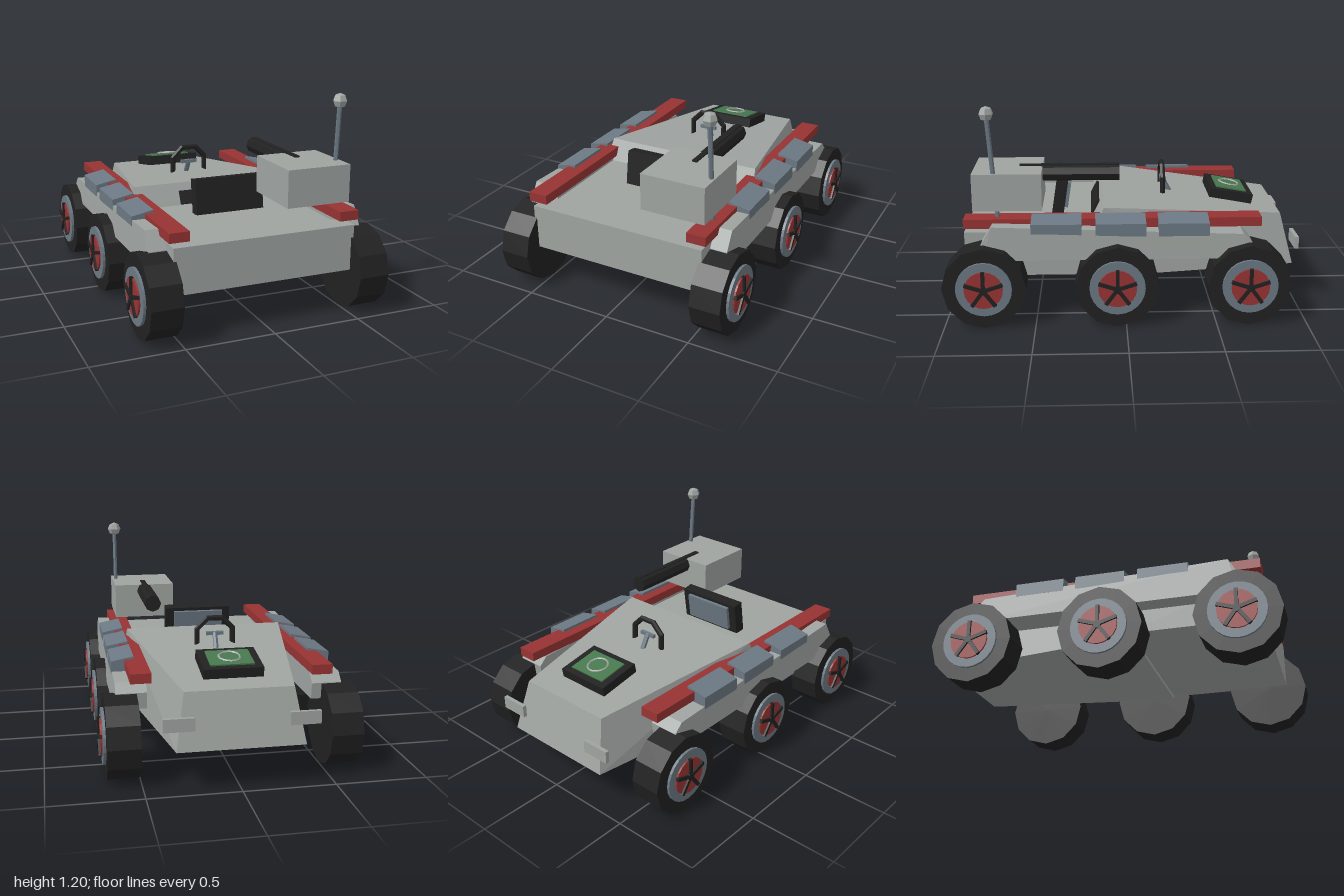
import * as THREE from 'three';
import { ConvexGeometry } from 'three/addons/geometries/ConvexGeometry.js';

const mat = (name, color, extra = {}) => {
  const m = new THREE.MeshStandardMaterial({ color, ...extra });
  m.name = name;
  return m;
};

export function createModel() {
  const hull = mat('hull grey', 0x9fa4a1, { flatShading: true });
  const steel = mat('blue steel', 0x6b7883, { flatShading: true });
  const red = mat('trim red', 0x983333, { flatShading: true });
  const black = mat('rubber black', 0x212121, { flatShading: true });
  const green = mat('screen green', 0x47784e, { flatShading: true });

  const model = new THREE.Group();
  model.name = 'rover';

  const add = (name, geometry, material, pos = [0, 0, 0], parent = model) => {
    const mesh = new THREE.Mesh(geometry, material);
    mesh.name = name;
    mesh.position.set(...pos);
    parent.add(mesh);
    return mesh;
  };
  const box = (name, size, material, pos, parent) =>
    add(name, new THREE.BoxGeometry(...size), material, pos, parent);
  const solid = (name, points, material) =>
    add(name, new ConvexGeometry(points.map((p) => new THREE.Vector3(...p))), material);
  const group = (name, pos) => {
    const g = new THREE.Group();
    g.name = name;
    g.position.set(...pos);
    model.add(g);
    return g;
  };
  // cylinder between two points
  const rod = (name, a, b, r, sides, material) => {
    const p = new THREE.Vector3(...a), q = new THREE.Vector3(...b);
    const dir = q.clone().sub(p);
    const mesh = add(name, new THREE.CylinderGeometry(r, r, dir.length(), sides), material,
      p.add(q).multiplyScalar(0.5).toArray());
    mesh.quaternion.setFromUnitVectors(new THREE.Vector3(0, 1, 0), dir.normalize());
    return mesh;
  };

  // Hull: flat deck and tapered hood
  box('rearDeck', [1.04, 0.255, 0.75], hull, [0, 0.3725, 0.515]);
  const hoodCorners = [
    [0.34, 0.225, -0.98], [0.29, 0.52, -0.905],
    [0.52, 0.225, 0.18], [0.475, 0.62, 0.12], [0.49, 0.5, 0.18],
  ];
  solid('hood', hoodCorners.flatMap(([x, y, z]) => [[x, y, z], [-x, y, z]]), hull);

  // Wheel, built facing +x and turned round for the other side
  const wheel = (side, z) => {
    const g = group('wheel', [side * 0.505, 0.23, z]);
    if (side < 0) g.rotation.y = Math.PI;
    const disc = (name, r, x0, x1, sides, material) => {
      const geo = new THREE.CylinderGeometry(r, r, x1 - x0, sides).rotateZ(-Math.PI / 2);
      add(name, geo, material, [(x0 + x1) / 2, 0, 0], g);
    };
    disc('tyre', 0.23, 0, 0.175, 12, black);
    disc('rim', 0.153, 0.17, 0.19, 24, steel);
    disc('hubPlate', 0.105, 0.18, 0.2, 20, red);
    disc('hubCap', 0.022, 0.19, 0.212, 8, black);
    for (let i = 0; i < 5; i++) {
      const geo = new THREE.BoxGeometry(0.018, 0.105, 0.02)
        .translate(0, 0.056, 0).rotateX((i * Math.PI * 2) / 5);
      add('spoke', geo, black, [0.202, 0, 0], g);
    }
  };

  // Sponson side profile as [z, y]
  const sponsonProfile = [
    [0.73, 0.56], [0.79, 0.46], [0.78, 0.37], [-0.68, 0.37], [-0.69, 0.46], [-0.64, 0.508],
  ];
  for (const s of [1, -1]) {
    for (const z of [0.775, 0.05, -0.675]) wheel(s, z);
    solid('sponson', sponsonProfile.flatMap(([z, y]) => [
      [s * 0.45, y, z], [s * (y < 0.4 ? 0.625 : 0.616), y, z],
    ]), hull);
    box('rail', [0.112, 0.053, 1.64], red, [s * 0.488, 0.554, 0.07]);
    // sloping panels along the sponson
    for (const z of [0.38, 0.03, -0.315]) {
      solid('sidePanel', [z - 0.138, z + 0.138].flatMap((e) => [
        [s * 0.495, 0.597, e], [s * 0.618, 0.572, e], [s * 0.618, 0.5, e], [s * 0.495, 0.5, e],
      ]), steel);
    }
    box('noseLamp', [0.163, 0.07, 0.022], hull, [s * 0.328, 0.375, -0.985]);
  }

  // Seat back and foot panel
  const seat = group('seat', [0, 0.598, 0.372]);
  seat.rotation.x = -0.15;
  box('backrest', [0.41, 0.2, 0.068], black, [0, 0, 0], seat);
  box('seatPad', [0.31, 0.15, 0.022], steel, [0, 0.005, -0.043], seat);
  box('dashPanel', [0.42, 0.08, 0.02], black, [0, 0.54, 0.165]).rotation.x = -0.46;

  // Steering wheel: open arc with a stem
  const arc = new THREE.TorusGeometry(0.113, 0.017, 6, 5, Math.PI * 1.25).rotateZ(-Math.PI / 8);
  add('steeringWheel', arc, black, [0, 0.64, -0.235]);
  rod('steeringStem', [0, 0.66, -0.235], [0, 0.56, -0.29], 0.015, 6, steel);
  box('steeringBar', [0.1, 0.02, 0.02], steel, [0, 0.655, -0.235]);

  // Tilted display on the hood
  const display = group('display', [0, 0.585, -0.637]);
  display.rotation.x = -0.18;
  box('displayFrame', [0.325, 0.055, 0.255], black, [0, 0, 0], display);
  box('screen', [0.24, 0.008, 0.18], green, [0, 0.031, 0], display);
  add('screenRing', new THREE.TorusGeometry(0.058, 0.006, 4, 16).rotateX(Math.PI / 2), hull,
    [0, 0.039, 0], display);

  // Equipment box, tube and antenna
  box('equipmentBox', [0.372, 0.208, 0.38], hull, [0.326, 0.722, 0.65]);
  rod('launchTube', [0.325, 0.786, 0.03], [0.325, 0.786, 0.47], 0.049, 8, black);
  box('topRod', [0.03, 0.03, 0.56], black, [0.325, 0.819, 0.31]);
  rod('antennaPole', [0.49, 0.58, 0.705], [0.49, 1.15, 0.745], 0.013, 6, steel);
  add('antennaHead', new THREE.SphereGeometry(0.042, 6, 4), hull, [0.49, 1.157, 0.745]);

  return model;
}
